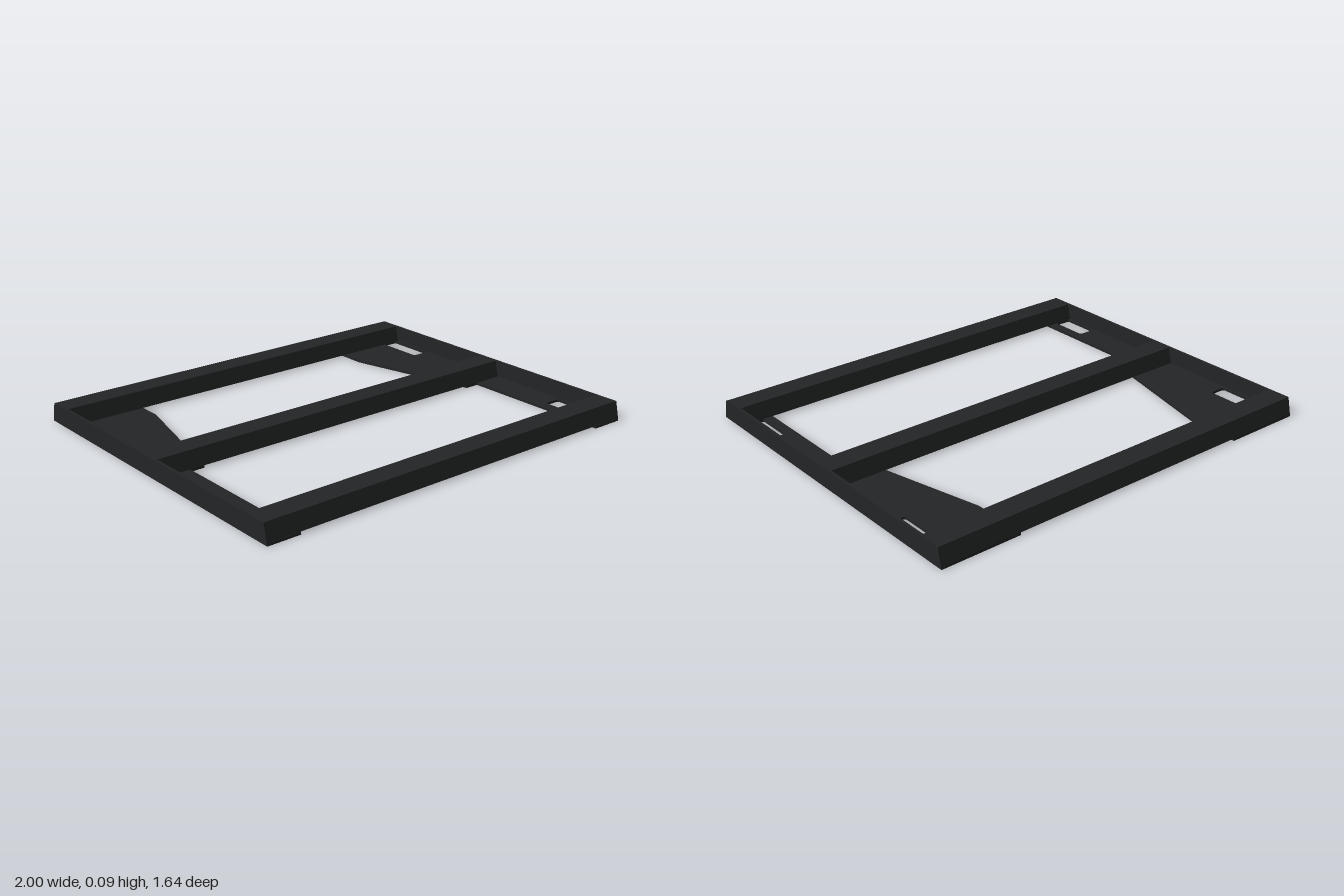
import * as THREE from 'three';

const material = new THREE.MeshStandardMaterial({ color: 0x242526 });
const HEIGHT = 0.09;
const SHEET = 0.012;
const WALL = 0.014;

function polygon(points) {
  return new THREE.Shape(points.map(([x, y]) => new THREE.Vector2(x, y)));
}

// Rounded rectangular slot between two corners
function slot(x0, y0, x1, y1, r) {
  const p = new THREE.Path();
  p.absarc(x1 - r, y1 - r, r, 0, Math.PI / 2);
  p.absarc(x0 + r, y1 - r, r, Math.PI / 2, Math.PI);
  p.absarc(x0 + r, y0 + r, r, Math.PI, Math.PI * 1.5);
  p.absarc(x1 - r, y0 + r, r, Math.PI * 1.5, Math.PI * 2);
  p.closePath();
  return p;
}

function extrude(shape, depth) {
  return new THREE.ExtrudeGeometry(shape, { depth, bevelEnabled: false, curveSegments: 4 });
}

function addMesh(group, geometry, name) {
  const mesh = new THREE.Mesh(geometry, material);
  mesh.name = name;
  group.add(mesh);
  return mesh;
}

export function createModel() {
  const model = new THREE.Group();
  model.name = 'mountingFrame';

  // Cross rails: folded channels with sloping sides, open underneath
  const channel = polygon([
    [-0.075, SHEET], [-0.055, HEIGHT], [0.055, HEIGHT], [0.075, SHEET],
    [0.063, SHEET], [0.046, HEIGHT - SHEET], [-0.046, HEIGHT - SHEET], [-0.063, SHEET],
  ]);
  const length = 2 * (1 - WALL);
  const railGeometry = extrude(channel, length).translate(0, 0, -length / 2).rotateY(Math.PI / 2);
  for (const [name, z] of [['frontRail', 0.745], ['middleRail', -0.003], ['backRail', -0.747]]) {
    addMesh(model, railGeometry, name).position.z = z;
  }

  // Side walls closing the rail ends
  const wallShape = polygon([[-0.822, 0], [0.822, 0], [0.802, HEIGHT], [-0.802, HEIGHT]]);
  const wallGeometry = extrude(wallShape, WALL).translate(0, 0, -WALL / 2).rotateY(Math.PI / 2);

  for (const [side, s] of [['left', 1], ['right', -1]]) {
    addMesh(model, wallGeometry, side + 'Wall').position.x = s * (1 - WALL / 2);

    // Base plate, wide at the back, narrow at the front, with two slots
    const outer = 1 - WALL;
    const plate = polygon([
      [outer, -0.822], [outer, 0.822], [0.615, 0.822], [0.615, 0.56],
      [0.77, -0.07], [0.842, -0.07], [0.842, -0.822],
    ].map(([x, y]) => [s * x, y]));
    const [x0, x1] = s > 0 ? [0.89, 0.974] : [-0.974, -0.89];
    plate.holes.push(slot(x0, -0.67, x1, -0.48, 0.012), slot(x0, 0.437, x1, 0.68, 0.012));
    addMesh(model, extrude(plate, SHEET).rotateX(-Math.PI / 2), side + 'BasePlate');
  }
  return model;
}
